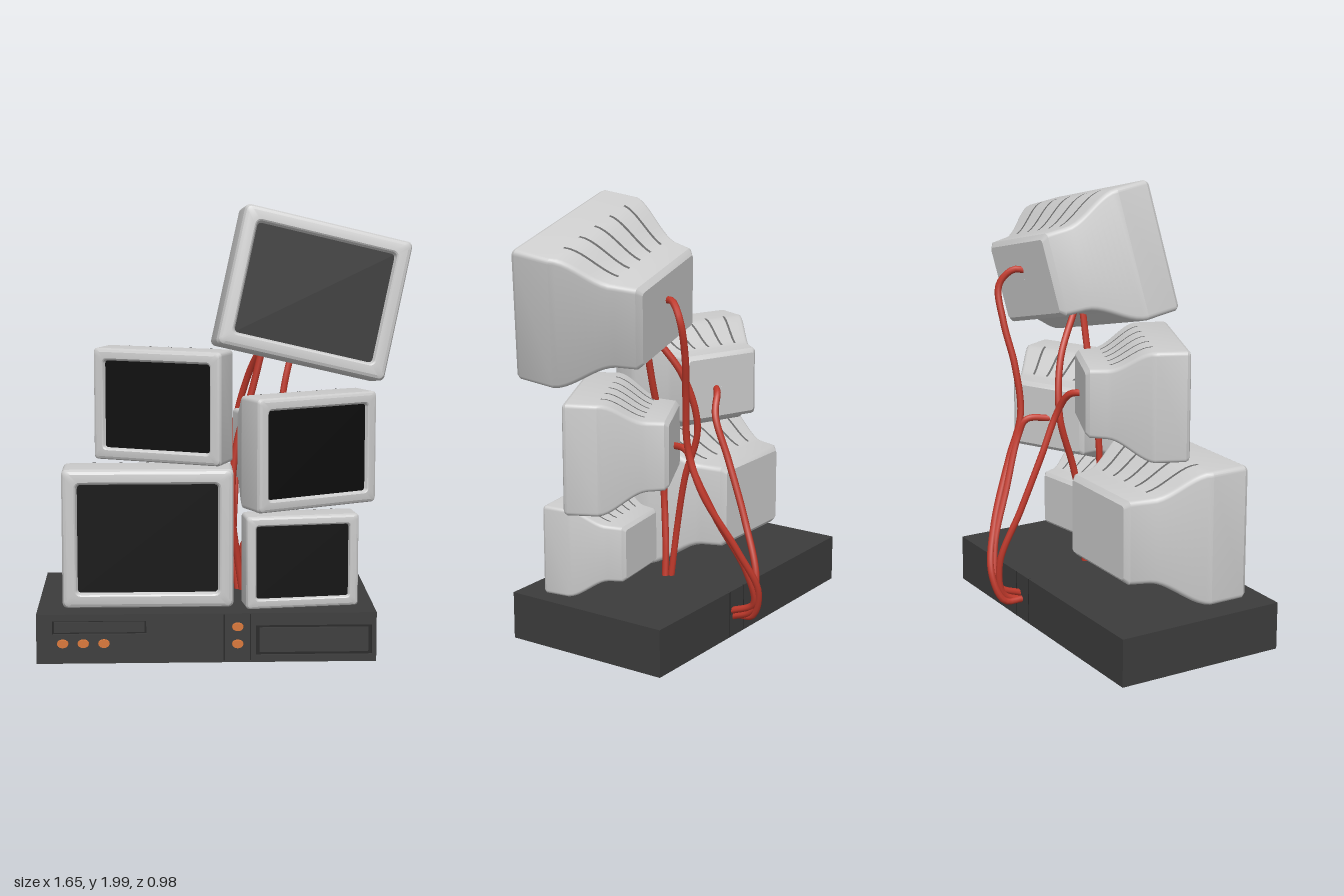
import * as THREE from 'three';
import { toCreasedNormals } from 'three/addons/utils/BufferGeometryUtils.js';

const paint = (color, side = THREE.FrontSide) =>
  new THREE.MeshStandardMaterial({ color, side });
const shellMat = paint(0xcccccc);
const screenMat = paint(0x0c0c0c);
const ventMat = paint(0x6a6a6a, THREE.DoubleSide);
const baseMat = paint(0x3c3c3c);
const grooveMat = paint(0x262626);
const buttonMat = paint(0xd9783a);
const cableMat = paint(0xc0392b);

function add(parent, name, geometry, material, x = 0, y = 0, z = 0) {
  const mesh = new THREE.Mesh(geometry, material);
  mesh.name = name;
  mesh.position.set(x, y, z);
  parent.add(mesh);
  return mesh;
}

// Monitor proportions for a width of 1; the front is at z = 0
const HW = 0.5, HH = 0.41;
const TAPER_START = 0.25, TAPER_LENGTH = 0.33, STEPS = 10;
const smooth = t => t * t * (3 - 2 * t);

// Counter-clockwise rounded rectangle
function roundedLoop(hw, hh, r, z) {
  const points = [];
  for (let c = 0; c < 4; c++) {
    const cx = (c === 0 || c === 3 ? 1 : -1) * (hw - r);
    const cy = (c < 2 ? 1 : -1) * (hh - r);
    for (let i = 0; i <= 4; i++) {
      const a = (c + i / 4) * Math.PI / 2;
      points.push([cx + r * Math.cos(a), cy + r * Math.sin(a), z]);
    }
  }
  return points;
}

function loft(loops) {
  const n = loops[0].length, index = [];
  for (let i = 0; i < loops.length - 1; i++) {
    for (let j = 0; j < n; j++) {
      const a = i * n + j, b = i * n + (j + 1) % n;
      index.push(a, a + n, b, b, a + n, b + n);
    }
  }
  const g = new THREE.BufferGeometry();
  g.setAttribute('position', new THREE.Float32BufferAttribute(loops.flat(2), 3));
  g.setIndex(index);
  return toCreasedNormals(g, 0.45);
}

function shellGeometry() {
  // depth, side inset, top and bottom inset, corner radius
  const sections = [
    [0.035, 0.092, 0.092, 0.02], [0.006, 0.08, 0.08, 0.03], [0, 0.072, 0.072, 0.035],
    [0, 0.026, 0.026, 0.025], [0.008, 0.01, 0.01, 0.03], [0.028, 0, 0, 0.03],
  ];
  for (let i = 0; i <= STEPS; i++) {
    const t = i / STEPS;
    sections.push([TAPER_START + t * TAPER_LENGTH, 0.15 * t, 0.15 * smooth(t), 0.03]);
  }
  sections.push([0.7, 0.18, 0.155, 0.03], [0.73, 0.21, 0.185, 0.02], [0.73, HW - 0.001, HH - 0.001, 0.0005]);
  return loft(sections.map(([d, ix, iy, r]) => roundedLoop(HW - ix, HH - iy, r, -d)));
}

// Narrow strip following the sloping top of the shell
function ventGeometry(k) {
  const pos = [], index = [];
  for (let i = 0; i < STEPS; i++) {
    const t = i / STEPS;
    const x = k * (0.165 - 0.05 * t);
    const y = HH - 0.15 * smooth(t) + 0.003;
    const z = -TAPER_START - t * TAPER_LENGTH;
    pos.push(x - 0.009, y, z, x + 0.009, y, z);
    if (i) {
      const a = 2 * i - 2;
      index.push(a, a + 1, a + 2, a + 1, a + 3, a + 2);
    }
  }
  const g = new THREE.BufferGeometry();
  g.setAttribute('position', new THREE.Float32BufferAttribute(pos, 3));
  g.setIndex(index);
  g.computeVertexNormals();
  return g;
}

function createMonitor(name, width, center, pitch, yaw, roll) {
  const monitor = new THREE.Group();
  monitor.name = name;
  add(monitor, 'shell', shellGeometry(), shellMat);
  add(monitor, 'screen', new THREE.PlaneGeometry(0.83, 0.65), screenMat, 0, 0, -0.03);
  for (let k = -2; k <= 2; k++) add(monitor, 'vent', ventGeometry(k), ventMat);
  monitor.scale.setScalar(width);
  monitor.position.set(...center);
  const rad = THREE.MathUtils.degToRad;
  monitor.rotation.set(rad(pitch), rad(yaw), rad(roll), 'YXZ');
  return monitor;
}

function rect(target, x0, y0, x1, y1) {
  target.moveTo(x0, y0);
  target.lineTo(x1, y0);
  target.lineTo(x1, y1);
  target.lineTo(x0, y1);
  target.closePath();
  return target;
}

function createBase() {
  const base = new THREE.Group();
  base.name = 'base';
  const box = (name, x0, x1, y0, y1, z0, z1, mat) => add(base, name,
    new THREE.BoxGeometry(x1 - x0, y1 - y0, z1 - z0), mat,
    (x0 + x1) / 2, (y0 + y1) / 2, (z0 + z1) / 2);
  box('body', -0.83, 0.66, 0, 0.22, -0.33, 0.462, baseMat);

  // Front plate with the recesses cut out
  const plate = rect(new THREE.Shape(), -0.83, 0, 0.66, 0.22);
  const recesses = [
    [-0.76, 0.13, -0.35, 0.19], [0.13, 0.03, 0.64, 0.165],
    [-0.012, 0.004, -0.006, 0.216], [0.103, 0.004, 0.109, 0.216],
  ];
  for (const [x0, y0, x1, y1] of recesses) {
    plate.holes.push(rect(new THREE.Path(), x0, y0, x1, y1));
    box('recessFloor', x0, x1, y0, y1, 0.455, 0.464, grooveMat);
  }
  add(base, 'frontPlate', new THREE.ExtrudeGeometry(plate, { depth: 0.02, bevelEnabled: false }), baseMat, 0, 0, 0.46);
  box('slotDoor', -0.752, -0.358, 0.137, 0.183, 0.46, 0.472, baseMat);
  box('frontPanel', 0.145, 0.625, 0.043, 0.152, 0.46, 0.475, baseMat);
  for (const x of [-0.009, 0.106]) box('rearSeam', x - 0.002, x + 0.002, 0, 0.22, -0.331, -0.32, grooveMat);

  // Push buttons
  for (const [x, y] of [[-0.715, 0.09], [-0.625, 0.09], [-0.535, 0.09], [0.05, 0.16], [0.05, 0.083]]) {
    const b = add(base, 'button', new THREE.CylinderGeometry(0.024, 0.027, 0.02, 20), buttonMat, x, y, 0.48);
    b.rotation.x = Math.PI / 2;
    b.scale.z = 0.75;
  }
  return base;
}

const CABLES = [
  [[0.33, 1.58, -0.12], [0.36, 1.59, -0.19], [0.39, 1.52, -0.25], [0.35, 1.35, -0.25], [0.3, 1.15, -0.22],
    [0.27, 0.92, -0.21], [0.26, 0.72, -0.28], [0.17, 0.45, -0.41], [0.09, 0.25, -0.47], [0.06, 0.11, -0.42], [0.06, 0.1, -0.32]],
  [[0.21, 0.9, -0.08], [0.25, 0.9, -0.19], [0.26, 0.82, -0.23], [0.21, 0.6, -0.32], [0.13, 0.35, -0.43],
    [0.08, 0.18, -0.44], [0.08, 0.12, -0.32]],
  [[-0.14, 1.1, -0.08], [-0.07, 1.09, -0.14], [-0.01, 1, -0.17], [0, 0.8, -0.25], [0.02, 0.55, -0.35],
    [0.06, 0.3, -0.44], [0.07, 0.14, -0.42], [0.07, 0.09, -0.32]],
  [[0.19, 1.4, 0.08], [0.13, 1.15, 0.08], [0.06, 0.9, 0.08], [0.04, 0.6, 0.08], [0.07, 0.35, 0.05], [0.09, 0.21, 0.04]],
  [[0.2, 1.4, 0.04], [0.12, 1.2, -0.08], [0.06, 0.95, -0.12], [0.06, 0.7, -0.05], [0.05, 0.45, 0], [0.07, 0.21, 0.02]],
];

export function createModel() {
  const model = new THREE.Group();
  model.name = 'monitorStack';
  model.add(createBase());

  // name, width, centre of the front, pitch, yaw, roll in degrees
  model.add(
    createMonitor('lowerRightMonitor', 0.755, [-0.342, 0.532, 0.39], 0, 0, 0),
    createMonitor('upperRightMonitor', 0.61, [-0.305, 1.105, 0.285], 0, -23, 0),
    createMonitor('middleLeftMonitor', 0.615, [0.418, 0.903, 0.3], 0, 27, 0),
    createMonitor('lowerLeftMonitor', 0.505, [0.342, 0.428, 0.395], 0, 8, 0),
    createMonitor('topMonitor', 0.755, [0.39, 1.615, 0.395], -7.5, 6.5, -13.5),
  );

  for (const points of CABLES) {
    const curve = new THREE.CatmullRomCurve3(points.map(p => new THREE.Vector3(...p)));
    add(model, 'cable', new THREE.TubeGeometry(curve, 80, 0.016, 8), cableMat);
  }
  return model;
}
